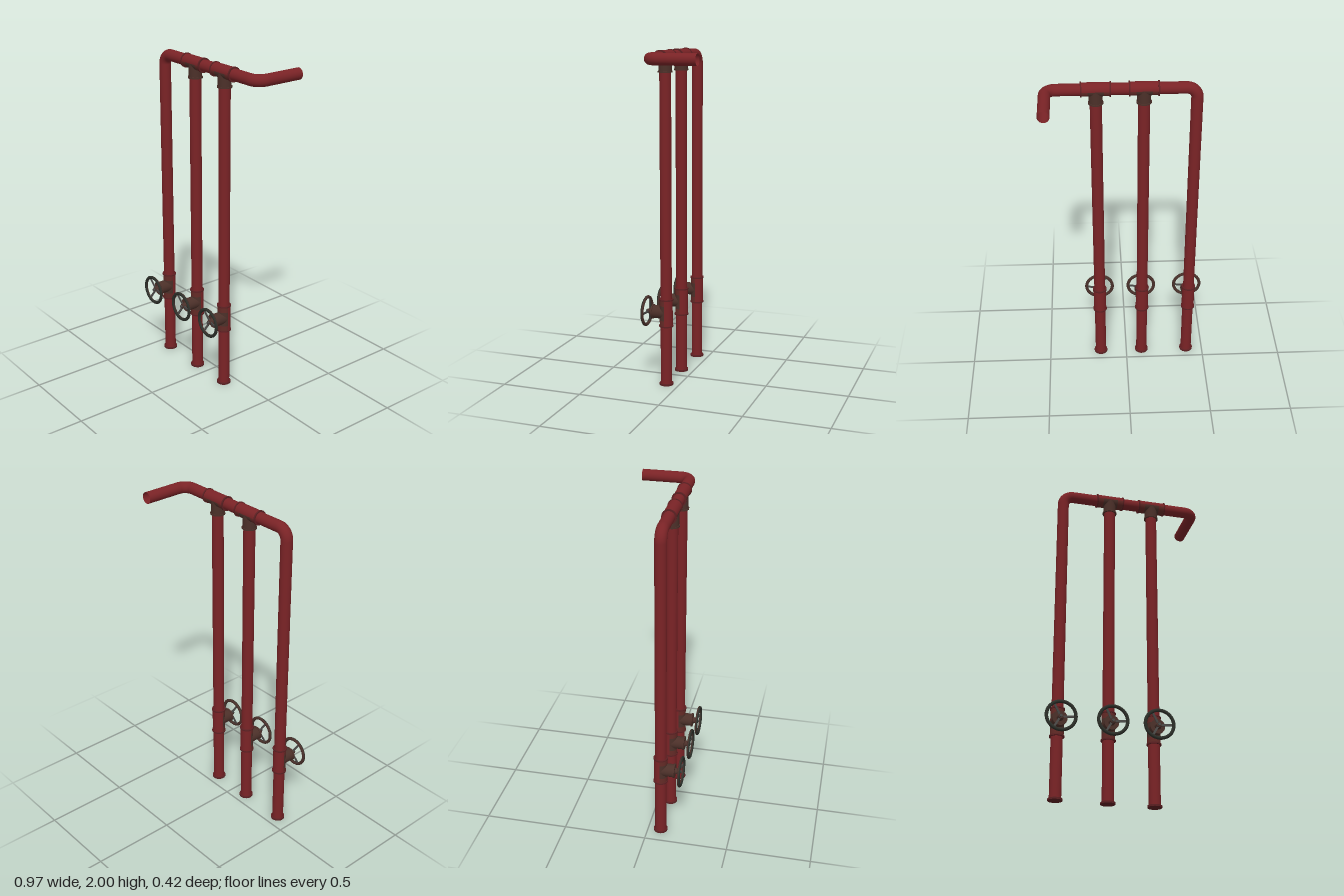
import * as THREE from 'three';

const mat = (name, color, side = THREE.FrontSide) => {
  const m = new THREE.MeshStandardMaterial({ color, side });
  m.name = name;
  return m;
};

const PIPE_R = 0.034, PIPE_Z = 0.077, TOP_Y = 1.958;
const V = (x, y, z) => new THREE.Vector3(x, y, z);

export function createModel() {
  const red = mat('pipe red', 0x7a2326, THREE.DoubleSide);
  const darkRed = mat('flange red', 0x5c2022);
  const rustyRed = mat('rusty red', 0x642a26);
  const brown = mat('rust brown', 0x4c3029);
  const rimDark = mat('wheel dark', 0x2c2f29);
  const rimRust = mat('wheel rust', 0x49302a);
  const steel = mat('stem grey', 0x4b4a48);

  const model = new THREE.Group();
  model.name = 'pipeManifold';

  const add = (parent, name, geometry, material) => {
    const mesh = new THREE.Mesh(geometry, material);
    mesh.name = name;
    parent.add(mesh);
    return mesh;
  };

  // Cylinder along local z between two depths
  const zCylinder = (parent, name, r0, r1, z0, z1, material) => {
    const g = new THREE.CylinderGeometry(r1, r0, z1 - z0, 24);
    g.rotateX(Math.PI / 2).translate(0, 0, (z0 + z1) / 2);
    return add(parent, name, g, material);
  };

  // Pipe run with one rounded corner
  const corner = (path, before, at, after, radius) => {
    const a = at.clone().add(before.clone().sub(at).setLength(radius));
    const b = at.clone().add(after.clone().sub(at).setLength(radius));
    const k = 0.5523;
    path.add(new THREE.LineCurve3(before, a));
    path.add(new THREE.CubicBezierCurve3(a, a.clone().lerp(at, k), b.clone().lerp(at, k), b));
    return b;
  };

  // Pipe run: riser, header and rear outlet, in short tubes
  const run = new THREE.CurvePath();
  const b1 = corner(run, V(-0.395, 0, PIPE_Z), V(-0.395, TOP_Y, PIPE_Z), V(0.448, TOP_Y, PIPE_Z), 0.06);
  const end = V(0.448, TOP_Y, -0.214);
  const b2 = corner(run, b1, V(0.448, TOP_Y, PIPE_Z), end, 0.06);
  run.add(new THREE.LineCurve3(b2, end));
  const names = ['leftRiser', 'leftElbow', 'header', 'rightElbow', 'rearOutlet'];
  run.curves.forEach((c, i) =>
    add(model, names[i], new THREE.TubeGeometry(c, i % 2 ? 14 : 1, PIPE_R, 28), red));

  // T-fitting: axis on y, branch on +z
  const fitting = (name) => {
    const g = new THREE.Group();
    g.name = name;
    const r = 0.039, half = 0.085;
    const shell = (part, y, h, start, material) => add(g, part,
      new THREE.CylinderGeometry(r, r, h, 16, 1, true, start, Math.PI).translate(0, y, 0), material);
    shell('bodyBack', 0, half * 2, Math.PI / 2, red);
    shell('bodyCentre', 0, 0.09, -Math.PI / 2, brown);
    for (const s of [-1, 1]) {
      shell('bodyEnd', s * 0.065, 0.04, -Math.PI / 2, rustyRed);
      add(g, 'flange', new THREE.CylinderGeometry(0.043, 0.043, 0.008, 28)
        .translate(0, s * (half - 0.004), 0), darkRed);
    }
    zCylinder(g, 'branch', 0.039, 0.039, 0, 0.08, brown);
    zCylinder(g, 'branchFlange', 0.043, 0.043, 0.078, 0.087, brown);
    model.add(g);
    return g;
  };

  // Half of the wheel rim, split into front and back faces
  const rimHalf = (start) => {
    const pts = [];
    for (let i = 0; i <= 8; i++) {
      const a = start + (i / 8) * Math.PI;
      pts.push(new THREE.Vector2(0.083 + 0.01 * Math.cos(a), 0.009 * Math.sin(a)));
    }
    return new THREE.LatheGeometry(pts, 40).rotateX(Math.PI / 2).translate(0, 0, 0.123);
  };

  // Handwheel with stem and three dished spokes
  const handwheel = (parent) => {
    const w = new THREE.Group();
    w.name = 'handwheel';
    parent.add(w);
    zCylinder(w, 'bonnet', 0.02, 0.016, 0.086, 0.102, brown);
    zCylinder(w, 'hub', 0.018, 0.014, 0.1, 0.117, rimRust);
    zCylinder(w, 'stem', 0.008, 0.008, 0.115, 0.127, steel);
    add(w, 'rimFront', rimHalf(0), rimDark);
    add(w, 'rimBack', rimHalf(Math.PI), rimRust);
    for (let i = 0; i < 3; i++) {
      const spoke = add(w, 'spoke', new THREE.BoxGeometry(0.075, 0.012, 0.006)
        .rotateY(-0.18).translate(0.045, 0, 0.114), steel);
      spoke.rotation.z = (i * Math.PI * 2) / 3;
    }
  };

  // Risers, base collars, valves and header tees
  [-0.395, -0.1, 0.168].forEach((x, i) => {
    if (i > 0) {
      add(model, 'riser', new THREE.CylinderGeometry(PIPE_R, PIPE_R, TOP_Y - 0.03, 28, 1, true)
        .translate(x, (TOP_Y - 0.03) / 2, PIPE_Z), red);
      const tee = fitting('headerTee');
      tee.position.set(x, TOP_Y, PIPE_Z);
      tee.rotation.set(Math.PI / 2, 0, Math.PI / 2);
    }
    add(model, 'baseCollar', new THREE.CylinderGeometry(0.042, 0.042, 0.011, 28)
      .translate(x, 0.0055, PIPE_Z), darkRed);
    const valve = fitting('valve');
    valve.position.set(x, 0.45, PIPE_Z);
    handwheel(valve);
  });

  return model;
}
